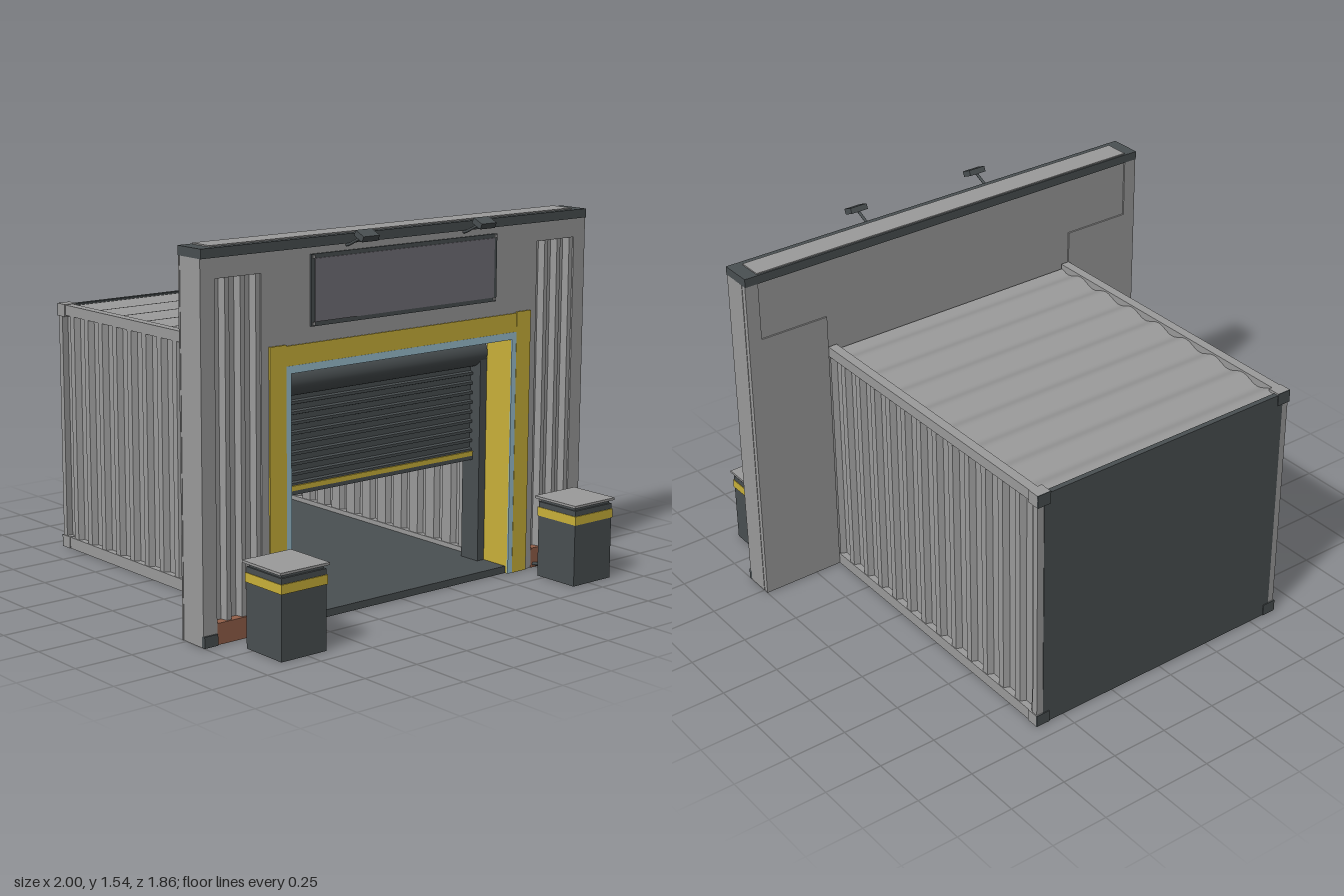
import * as THREE from 'three';
import { toCreasedNormals } from 'three/addons/utils/BufferGeometryUtils.js';

const mat = (name, color) => {
  const m = new THREE.MeshStandardMaterial({ color });
  m.name = name;
  return m;
};

export function createModel() {
  const root = new THREE.Group();
  root.name = 'loadingDock';
  const grey = mat('panelGrey', 0x9b9b9b);
  const dark = mat('charcoal', 0x4a5052);
  const yellow = mat('safetyYellow', 0xcbb23a);
  const blue = mat('sealBlue', 0x9cc2d2);
  const brown = mat('rustBrown', 0x93604a);
  const slate = mat('signSlate', 0x737078);

  const add = (name, geo, material, parent = root) => {
    const m = new THREE.Mesh(geo, material);
    m.name = name;
    parent.add(m);
    return m;
  };
  // Box given by its limits on each axis
  const box = (name, material, x0, x1, y0, y1, z0, z1, parent) => {
    const g = new THREE.BoxGeometry(x1 - x0, y1 - y0, z1 - z0);
    g.translate((x0 + x1) / 2, (y0 + y1) / 2, (z0 + z1) / 2);
    return add(name, g, material, parent);
  };
  // Same box on both sides of x = 0
  const pair = (name, material, x0, x1, ...rest) => {
    box(name + 'Left', material, x0, x1, ...rest);
    box(name + 'Right', material, -x1, -x0, ...rest);
  };
  // Doorway-shaped plate: outer outline minus an opening reaching the ground
  const portal = (ox, oy, ix, iy, z0, z1, holes = []) => {
    const s = new THREE.Shape([[-ox, 0], [-ix, 0], [-ix, iy], [ix, iy], [ix, 0], [ox, 0], [ox, oy], [-ox, oy]]
      .map(p => new THREE.Vector2(...p)));
    s.holes = holes;
    return new THREE.ExtrudeGeometry(s, { depth: z1 - z0, bevelEnabled: false }).translate(0, 0, z0);
  };
  // Folded sheet: profile (u, v) given a thickness and extruded, centred on its length
  const sheet = (pts, thick, length) => {
    const back = pts.map(([u, v]) => [u, v - thick]).reverse();
    const s = new THREE.Shape([...pts, ...back].map(p => new THREE.Vector2(...p)));
    return new THREE.ExtrudeGeometry(s, { depth: length, bevelEnabled: false }).translate(0, 0, -length / 2);
  };
  // Trapezoid folds over a width centred on u = 0
  const folds = (width, n, depth) => {
    const pts = [], p = width / n;
    for (let i = 0; i < n; i++) {
      const u = -width / 2 + i * p;
      pts.push([u, 0], [u + p * 0.28, 0], [u + p * 0.38, -depth], [u + p * 0.9, -depth]);
    }
    pts.push([width / 2, 0]);
    return pts;
  };

  // Front wall with recessed corrugated bays
  const bays = [-1, 1].map(s => new THREE.Path([[0.72, 0.001], [0.935, 0.001], [0.935, 1.395], [0.72, 1.395]]
    .map(([x, y]) => new THREE.Vector2(s * x, y))));
  add('frontWall', portal(1, 1.475, 0.605, 1.03, 0.5, 0.61, bays), grey);
  add('wallBack', portal(0.998, 1.475, 0.605, 1.03, 0.482, 0.5), grey);
  pair('wallBackPanel', grey, 0.63, 1, 0, 1.22, 0.475, 0.483);
  pair('wallBackPost', grey, 0.94, 1, 1.22, 1.475, 0.475, 0.483);
  for (const s of [-1, 1]) {
    const g = sheet(folds(0.215, 3, 0.03), 0.01, 1.31).rotateX(-Math.PI / 2).rotateY(Math.PI);
    add('bayCladding', g, grey).position.set(s * 0.8275, 0.74, 0.603);
  }
  pair('bayFooting', brown, 0.72, 0.935, 0, 0.085, 0.5, 0.611);
  pair('wallFoot', dark, 0.937, 1, 0, 0.045, 0.6, 0.618);

  // Roof cap of the wall
  box('wallCap', dark, -1, 1, 1.473, 1.51, 0.472, 0.615);
  box('capInlay', grey, -0.94, 0.94, 1.509, 1.515, 0.48, 0.587);

  // Door surround
  pair('doorPost', yellow, 0.605, 0.685, 0, 1.113, 0.608, 0.617);
  box('doorHeader', yellow, -0.605, 0.605, 1.03, 1.108, 0.608, 0.615);
  add('doorReveal', portal(0.607, 1.032, 0.58, 1.0, 0.47, 0.611), yellow);
  add('doorSeal', portal(0.605, 1.03, 0.58, 1.0, 0.61, 0.616), blue);

  // Roller shutter
  pair('shutterGuide', dark, 0.543, 0.58, 0, 0.9, 0.37, 0.47);
  box('shutterHousing', dark, -0.575, 0.575, 0.985, 1.0, 0.36, 0.475);
  const drum = new THREE.CylinderGeometry(0.063, 0.063, 1.15, 32).rotateZ(Math.PI / 2);
  add('shutterDrum', drum, dark).position.set(0, 0.927, 0.415);
  const slats = sheet(folds(0.37, 9, 0.014), 0.008, 1.09)
    .rotateX(-Math.PI / 2).rotateZ(Math.PI / 2).rotateY(Math.PI);
  add('shutterSlats', slats, dark).position.set(0, 0.685, 0.425);
  box('shutterStripe', yellow, -0.543, 0.543, 0.482, 0.502, 0.405, 0.432);
  box('shutterBottomBar', dark, -0.543, 0.543, 0.465, 0.482, 0.405, 0.43);

  // Container: floor, rails, back wall
  box('floor', dark, -0.6, 0.6, 0, 0.03, -0.92, 0.6);
  pair('bottomRail', grey, 0.59, 0.63, 0, 0.05, -0.925, 0.476);
  pair('underside', dark, 0.59, 0.625, -0.0005, 0.004, -0.925, 0.476);
  pair('topRail', grey, 0.59, 0.63, 1.035, 1.08, -0.925, 0.476);
  pair('rearPost', grey, 0.595, 0.63, 0.045, 1.035, -0.926, -0.9);
  box('backWall', dark, -0.6, 0.6, 0, 1.075, -0.928, -0.905);
  for (const [y0, y1] of [[0, 0.052], [1.028, 1.082]]) {
    pair('cornerBlock', grey, 0.572, 0.634, y0, y1, -0.928, -0.875);
    pair('cornerPlate', dark, 0.572, 0.634, y0, y1, -0.932, -0.927);
  }

  // Corrugated container sides
  for (const s of [-1, 1]) {
    const g = sheet(folds(1.39, 13, 0.025), 0.008, 0.99).rotateX(-Math.PI / 2).rotateY(-s * Math.PI / 2);
    add(s > 0 ? 'sideWallLeft' : 'sideWallRight', g, grey).position.set(s * 0.627, 0.54, -0.225);
  }

  // Gently waved container roof
  const wave = [];
  for (let i = 0; i <= 96; i++) {
    const u = -0.695 + 1.39 * i / 96;
    wave.push([u, 0.012 * Math.sin(i / 12 * Math.PI * 2)]);
  }
  const roof = toCreasedNormals(sheet(wave, 0.012, 1.19).rotateY(-Math.PI / 2), 0.6);
  add('waveRoof', roof, grey).position.set(0, 1.06, -0.225);

  // Blank sign board
  box('signFrame', dark, -0.485, 0.485, 1.17, 1.447, 0.605, 0.617);
  box('signPanel', slate, -0.468, 0.468, 1.187, 1.43, 0.615, 0.621);
  for (const x of [-0.474, 0.474]) for (const y of [1.18, 1.437]) {
    box('signBolt', grey, x - 0.006, x + 0.006, y - 0.006, y + 0.006, 0.615, 0.622);
  }

  const tube = (pts, r) => {
    const path = new THREE.CurvePath();
    const v = pts.map(p => new THREE.Vector3(...p));
    for (let i = 1; i < v.length; i++) path.add(new THREE.LineCurve3(v[i - 1], v[i]));
    return new THREE.TubeGeometry(path, 24, r, 8);
  };

  for (const s of [-1, 1]) {
    // Sign lamps
    const lamp = new THREE.Group();
    lamp.name = 'signLamp';
    lamp.position.x = s * 0.305;
    add('lampArm', tube([[0, 1.465, 0.6], [0, 1.47, 0.625], [0, 1.515, 0.72]], 0.006), dark, lamp);
    const head = add('lampHead', new THREE.BoxGeometry(0.08, 0.024, 0.052), dark, lamp);
    head.position.set(0, 1.515, 0.728);
    head.rotation.x = 0.42;
    root.add(lamp);

    // Bollard boxes with lid, band and feed pipe
    const b = new THREE.Group();
    b.name = 'bollard';
    b.position.x = s * 0.767;
    box('bollardBody', dark, -0.107, 0.107, 0, 0.32, 0.712, 0.922, b);
    box('bollardBand', yellow, -0.11, 0.11, 0.26, 0.297, 0.708, 0.926, b);
    box('bollardNeck', dark, -0.1, 0.1, 0.32, 0.336, 0.72, 0.914, b);
    box('bollardLid', grey, -0.117, 0.117, 0.334, 0.344, 0.698, 0.93, b);
    add('feedPipe', tube([[0, 0.095, 0.715], [0, 0.015, 0.645], [-s * 0.035, 0.015, 0.605]], 0.007), dark, b);
    root.add(b);
  }
  return root;
}
